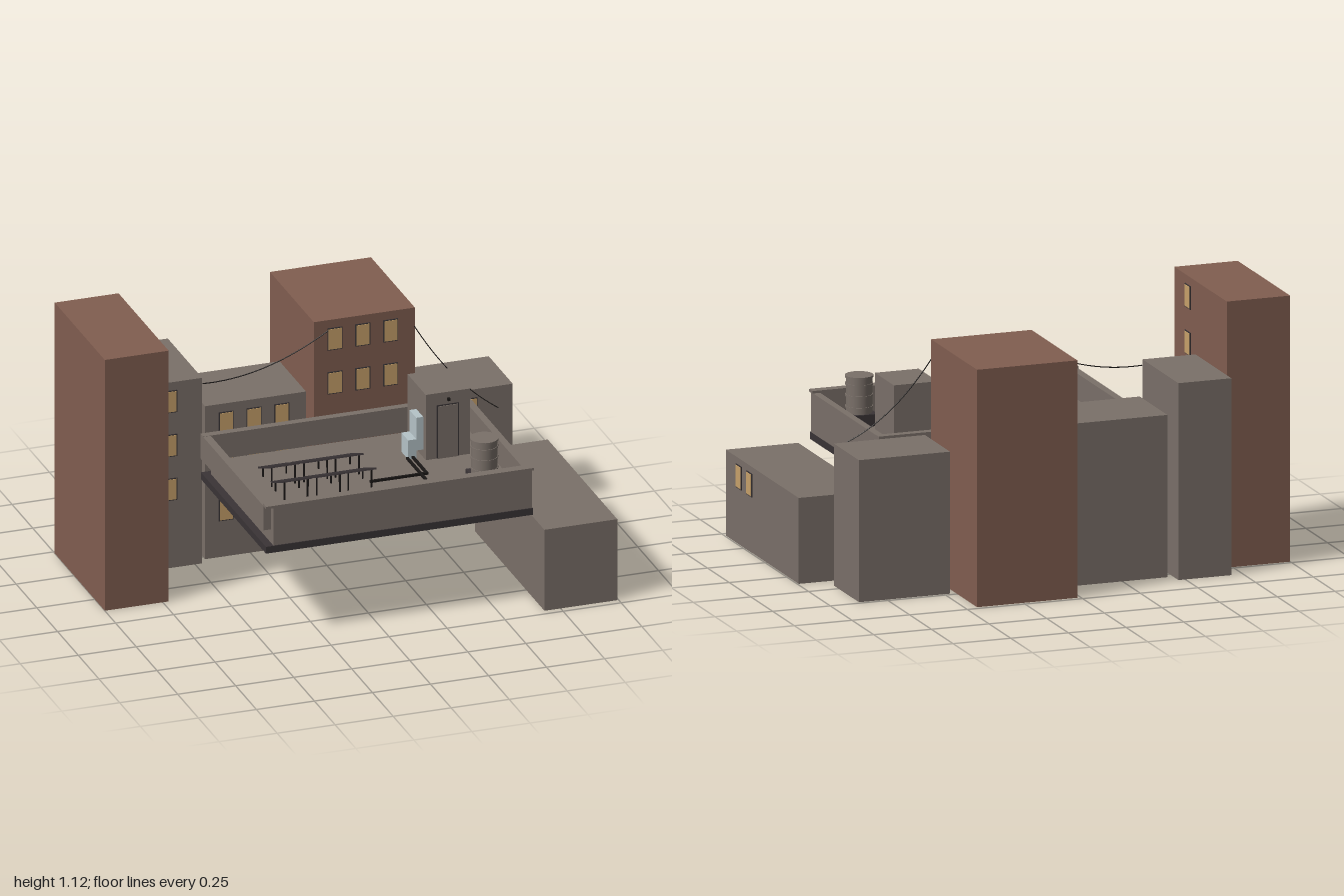
import * as THREE from 'three';

const paint = (name, color) => {
  const m = new THREE.MeshStandardMaterial({ color });
  m.name = name;
  return m;
};

export function createModel() {
  const grey = paint('concrete grey', 0x7a7069);
  const brick = paint('brick', 0x815e50);
  const dark = paint('dark slate', 0x3a3436);
  const black = paint('cable black', 0x1a1716);
  const amber = paint('window amber', 0xc8a26b);
  const pale = paint('pale blue', 0xb6c4c8);

  const root = new THREE.Group();
  root.name = 'rooftopBlock';

  const add = (name, geometry, material, parent = root) => {
    const mesh = new THREE.Mesh(geometry, material);
    mesh.name = name;
    parent.add(mesh);
    return mesh;
  };
  // Box given by its extents on each axis
  const box = (name, material, [x0, x1], [y0, y1], [z0, z1], parent = root) => {
    const mesh = add(name, new THREE.BoxGeometry(x1 - x0, y1 - y0, z1 - z0), material, parent);
    mesh.position.set((x0 + x1) / 2, (y0 + y1) / 2, (z0 + z1) / 2);
    return mesh;
  };
  const group = (name, parent = root) => {
    const g = new THREE.Group();
    g.name = name;
    parent.add(g);
    return g;
  };

  // Lit window: dark frame with a pane just in front of it
  const windowAt = (x, y, z, turn, parent) => {
    const w = group('window', parent);
    w.position.set(x, y, z);
    w.rotation.y = turn;
    box('windowFrame', dark, [-0.032, 0.032], [-0.049, 0.049], [-0.002, 0.004], w);
    box('windowPane', amber, [-0.028, 0.028], [-0.045, 0.045], [0.003, 0.006], w);
  };

  // Surrounding buildings: columns are x on a front wall, z on a side wall
  const buildings = [
    { name: 'tallBrickBuilding', mat: brick, x: [-1, -0.725], h: 1.115, z: [-0.485, 0.12],
      side: true, cols: [-0.04], rows: [1.03, 0.835, 0.64] },
    { name: 'narrowBuilding', mat: grey, x: [-0.7, -0.47], h: 0.825, z: [-0.605, -0.19],
      cols: [-0.61], rows: [0.74, 0.545, 0.35] },
    { name: 'middleBuilding', mat: grey, x: [-0.445, -0.01], h: 0.68, z: [-0.545, -0.225],
      cols: [-0.355, -0.235, -0.115], rows: [0.595, 0.4, 0.21] },
    { name: 'wideBrickBuilding', mat: brick, x: [0.015, 0.45], h: 0.995, z: [-0.73, -0.2],
      cols: [0.105, 0.225, 0.345], rows: [0.91, 0.715, 0.52] },
    { name: 'cornerBuilding', mat: grey, x: [0.475, 0.87], h: 0.595, z: [-0.485, -0.195],
      cols: [0.565, 0.685], rows: [0.51, 0.315, 0.12] },
    { name: 'lowBuilding', mat: grey, x: [0.68, 0.994], h: 0.36, z: [-0.12, 0.72],
      side: true, cols: [0.565, 0.445], rows: [0.283] },
  ];
  for (const b of buildings) {
    const g = group(b.name);
    box('walls', b.mat, b.x, [0, b.h], b.z, g);
    for (const c of b.cols) for (const y of b.rows) {
      if (b.side) windowAt(b.x[1], y, c, Math.PI / 2, g);
      else windowAt(c, y, b.z[1], 0, g);
    }
  }

  // Rooftop deck with cornice and parapet
  const roof = group('rooftop');
  box('cornice', dark, [-0.49, 0.66], [0.395, 0.425], [-0.15, 0.637], roof);
  box('roofDeck', grey, [-0.457, 0.658], [0.425, 0.485], [-0.12, 0.633], roof);
  box('frontParapet', grey, [-0.457, 0.658], [0.485, 0.595], [0.605, 0.633], roof);
  box('frontCoping', grey, [-0.49, 0.663], [0.593, 0.604], [0.6, 0.64], roof);
  box('backParapet', grey, [-0.49, 0.66], [0.485, 0.595], [-0.155, -0.122], roof);
  box('leftParapet', grey, [0.63, 0.66], [0.485, 0.594], [-0.122, 0.605], roof);
  box('rightParapet', grey, [-0.49, -0.457], [0.485, 0.594], [-0.122, 0.605], roof);

  // Stair house with door and lamp
  const stair = group('stairHouse');
  box('stairWalls', grey, [0.365, 0.555], [0.485, 0.775], [-0.05, 0.17], stair);
  box('doorFrame', dark, [0.412, 0.508], [0.485, 0.722], [0.168, 0.172], stair);
  box('door', grey, [0.417, 0.503], [0.485, 0.717], [0.17, 0.175], stair);
  box('doorLamp', black, [0.457, 0.467], [0.738, 0.75], [0.17, 0.182], stair);

  // Pale equipment cabinets beside the stair house
  box('wallCabinet', pale, [0.335, 0.365], [0.52, 0.665], [0.057, 0.14]);
  box('lowCabinet', pale, [0.3, 0.335], [0.485, 0.57], [0.057, 0.14]);

  // Skylight
  const skylight = group('skylight');
  box('skylightFrame', dark, [-0.397, -0.257], [0.485, 0.51], [0.42, 0.537], skylight);
  box('skylightGlass', pale, [-0.387, -0.267], [0.508, 0.514], [0.43, 0.527], skylight);

  // Two rows of tilted solar panels on posts, high edge to the front
  const solar = group('solarPanels');
  for (const z of [0.155, 0.308]) for (const x of [-0.262, -0.123, 0.013]) {
    const panel = add('solarPanel', new THREE.BoxGeometry(0.127, 0.007, 0.161), dark, solar);
    panel.position.set(x, 0.55, z);
    panel.rotation.x = -0.4;
    for (const dx of [-0.05, 0.05]) {
      box('frontPost', black, [x + dx - 0.003, x + dx + 0.003], [0.485, 0.57], [z + 0.05, z + 0.056], solar);
      box('backPost', black, [x + dx - 0.003, x + dx + 0.003], [0.485, 0.53], [z - 0.056, z - 0.05], solar);
    }
  }

  // Cable runs along the deck
  const conduit = group('conduits');
  box('skylightRun', black, [-0.257, 0.301], [0.487, 0.497], [0.475, 0.485], conduit);
  box('skylightRise', black, [0.291, 0.301], [0.487, 0.497], [0.14, 0.475], conduit);
  box('panelRun', black, [0.075, 0.325], [0.488, 0.498], [0.305, 0.315], conduit);
  box('panelRise', black, [0.315, 0.325], [0.488, 0.498], [0.14, 0.305], conduit);

  // Banded water tank on its stand
  const tank = group('waterTank');
  box('tankStand', dark, [0.45, 0.57], [0.485, 0.535], [0.41, 0.53], tank);
  const drum = (name, r, y0, y1) => {
    add(name, new THREE.CylinderGeometry(r, r, y1 - y0, 24), grey, tank)
      .position.set(0.51, (y0 + y1) / 2, 0.47);
  };
  drum('tankBody', 0.054, 0.535, 0.688);
  for (const y of [0.56, 0.608, 0.655]) drum('tankBand', 0.057, y - 0.004, y + 0.004);
  drum('tankLid', 0.058, 0.682, 0.691);

  // Sagging overhead wires
  const wire = (...pts) => {
    const curve = new THREE.QuadraticBezierCurve3(...pts.map((p) => new THREE.Vector3(...p)));
    add('overheadWire', new THREE.TubeGeometry(curve, 24, 0.0022, 6), black);
  };
  wire([-0.47, 0.8, -0.188], [-0.2, 0.785, -0.19], [0.075, 0.95, -0.196]);
  wire([0.447, 0.914, -0.198], [0.587, 0.663, -0.135], [0.762, 0.56, -0.063]);

  return root;
}
